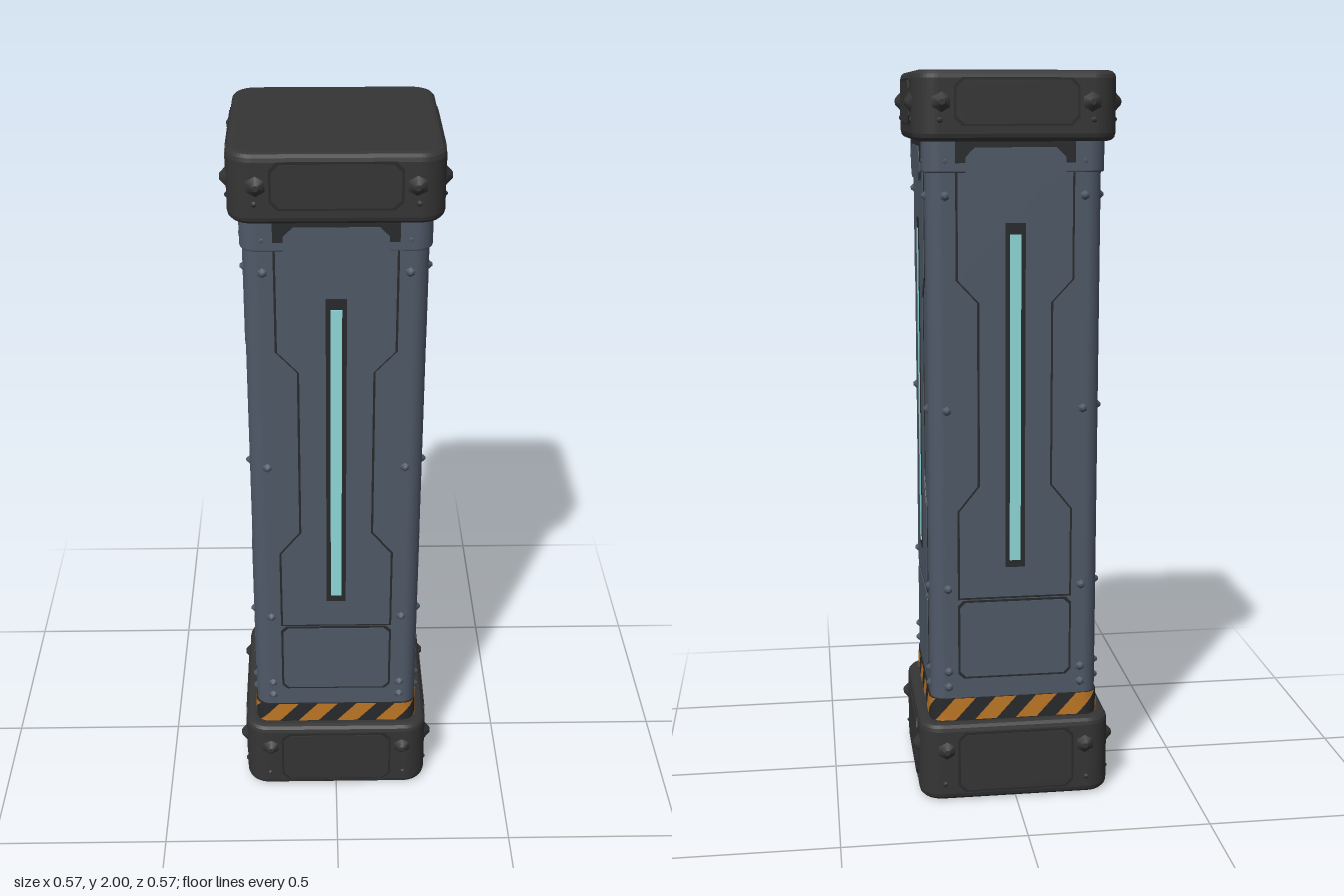
import * as THREE from 'three';

const material = (name, color, side = THREE.FrontSide) => {
  const m = new THREE.MeshStandardMaterial({ color, side });
  m.name = name;
  return m;
};

// Rounded square outline, counter-clockwise
function roundedSquare(h, r) {
  const s = new THREE.Shape();
  s.absarc(h - r, -h + r, r, -Math.PI / 2, 0, false);
  s.absarc(h - r, h - r, r, 0, Math.PI / 2, false);
  s.absarc(-h + r, h - r, r, Math.PI / 2, Math.PI, false);
  s.absarc(-h + r, -h + r, r, Math.PI, Math.PI * 1.5, false);
  s.closePath();
  return s;
}

// Upright prism with softly bevelled ends
function prism(name, h, r, y0, y1, bevel, mat) {
  const geo = new THREE.ExtrudeGeometry(roundedSquare(h - bevel, r), {
    depth: y1 - y0 - 2 * bevel, bevelEnabled: bevel > 0,
    bevelThickness: bevel, bevelSize: bevel, bevelSegments: 3, curveSegments: 5,
  });
  geo.rotateX(-Math.PI / 2);
  const mesh = new THREE.Mesh(geo, mat);
  mesh.name = name;
  mesh.position.y = y0 + bevel;
  return mesh;
}

// Thin plate standing on a face
function plate(name, points, z, depth, mat) {
  const shape = new THREE.Shape(points.map(([x, y]) => new THREE.Vector2(x, y)));
  const mesh = new THREE.Mesh(new THREE.ExtrudeGeometry(shape, { depth, bevelEnabled: false }), mat);
  mesh.name = name;
  mesh.position.z = z;
  return mesh;
}

// Rectangle with clipped corners
const clipped = (w, y0, y1, c) => [
  [-w + c, y0], [w - c, y0], [w, y0 + c], [w, y1 - c],
  [w - c, y1], [-w + c, y1], [-w, y1 - c], [-w, y0 + c],
];
const rect = (w, y0, y1) => [[-w, y0], [w, y0], [w, y1], [-w, y1]];

// Waisted main panel, grown outwards by g
function waisted(g) {
  const side = [[0.152, 0.585 - g], [0.152, 0.83], [0.096, 0.9], [0.096, 1.4], [0.152, 1.46], [0.152, 1.79 + g]]
    .map(([x, y]) => [x + g, y]);
  return [...side, ...side.map(([x, y]) => [-x, y]).reverse()];
}

export function createModel() {
  const steel = material('blue grey steel', 0x4f5968);
  const cap = material('charcoal cap', 0x353535);
  const seam = material('dark seam', 0x292a2c);
  const glow = material('cyan light', 0x90dada);
  const orange = material('hazard orange', 0xc07826, THREE.DoubleSide);

  const model = new THREE.Group();
  model.name = 'pillar';

  // Core, caps and hazard band
  model.add(
    prism('shaft', 0.233, 0.04, 0.2, 1.84, 0, steel),
    prism('topCollar', 0.241, 0.04, 1.74, 1.83, 0.005, steel),
    prism('baseCap', 0.268, 0.045, 0, 0.225, 0.02, cap),
    prism('topCap', 0.268, 0.045, 1.82, 2, 0.02, cap),
    prism('hazardBand', 0.236, 0.04, 0.215, 0.292, 0, seam),
  );

  // Slanted stripes wrapped around the band
  const outline = roundedSquare(0.238, 0.04);
  const count = 16, steps = 6, slant = 0.5 / count;
  const pos = [], index = [];
  for (let i = 0; i < count; i++) {
    for (let j = 0; j <= steps; j++) {
      for (let k = 0; k <= 4; k++) {
        const u = (i + 0.3 + 0.52 * j / steps) / count + slant * k / 4;
        const p = outline.getPointAt(u % 1);
        pos.push(p.x, 0.228 + 0.064 * k / 4, -p.y);
        if (j < steps && k < 4) {
          const a = (i * (steps + 1) + j) * 5 + k, b = a + 5;
          index.push(a, b, b + 1, a, b + 1, a + 1);
        }
      }
    }
  }
  const stripeGeo = new THREE.BufferGeometry();
  stripeGeo.setAttribute('position', new THREE.Float32BufferAttribute(pos, 3));
  stripeGeo.setIndex(index);
  stripeGeo.computeVertexNormals();
  const stripes = new THREE.Mesh(stripeGeo, orange);
  stripes.name = 'hazardStripes';
  model.add(stripes);

  // Bolts: low cones pointing out of the face
  const boltGeo = new THREE.CylinderGeometry(0.3, 1, 1, 6).rotateX(Math.PI / 2);
  const bolt = (x, y, z, r, h, mat) => {
    const m = new THREE.Mesh(boltGeo, mat);
    m.name = 'bolt';
    m.scale.set(r, r, h);
    m.position.set(x, y, z + h / 2);
    return m;
  };

  // The same details on all four sides
  for (let i = 0; i < 4; i++) {
    const face = new THREE.Group();
    face.name = 'side' + (i + 1);
    face.rotation.y = i * Math.PI / 2;
    const z = 0.232;

    // Shaft panels with dark seams around them
    face.add(
      plate('mainPanelSeam', waisted(0.006), z, 0.0025, seam),
      plate('mainPanel', waisted(0), z, 0.005, steel),
      plate('lowerPanelSeam', clipped(0.158, 0.349, 0.576, 0.015), z, 0.0025, seam),
      plate('lowerPanel', clipped(0.152, 0.355, 0.57, 0.015), z, 0.005, steel),
      plate('tabSeam', rect(0.158, 1.765, 1.825), z, 0.0105, seam),
      plate('topTab', clipped(0.132, 1.715, 1.805, 0.025), z, 0.013, steel),
    );

    // Light strip in its dark housing
    face.add(
      plate('lightHousing', rect(0.027, 0.67, 1.61), z, 0.007, seam),
      plate('lightStrip', rect(0.015, 0.69, 1.58), z, 0.009, glow),
    );

    // Cap panels
    for (const [y0, y1] of [[0.03, 0.195], [1.865, 1.975]]) {
      face.add(
        plate('capPanelSeam', clipped(0.163, y0 - 0.006, y1 + 0.006, 0.02), 0.267, 0.0025, seam),
        plate('capPanel', clipped(0.157, y0, y1, 0.02), 0.267, 0.005, cap),
      );
    }

    for (const s of [-1, 1]) {
      for (const y of [0.15, 1.92]) face.add(bolt(s * 0.195, y, 0.266, 0.028, 0.018, cap));
      for (const y of [0.05, 1.875]) face.add(bolt(s * 0.2, y, 0.266, 0.01, 0.007, cap));
      for (const y of [0.325, 0.37, 0.61, 1.11, 1.68, 1.77]) {
        face.add(bolt(s * 0.185, y, z, 0.014, 0.011, steel));
      }
    }
    model.add(face);
  }
  return model;
}
